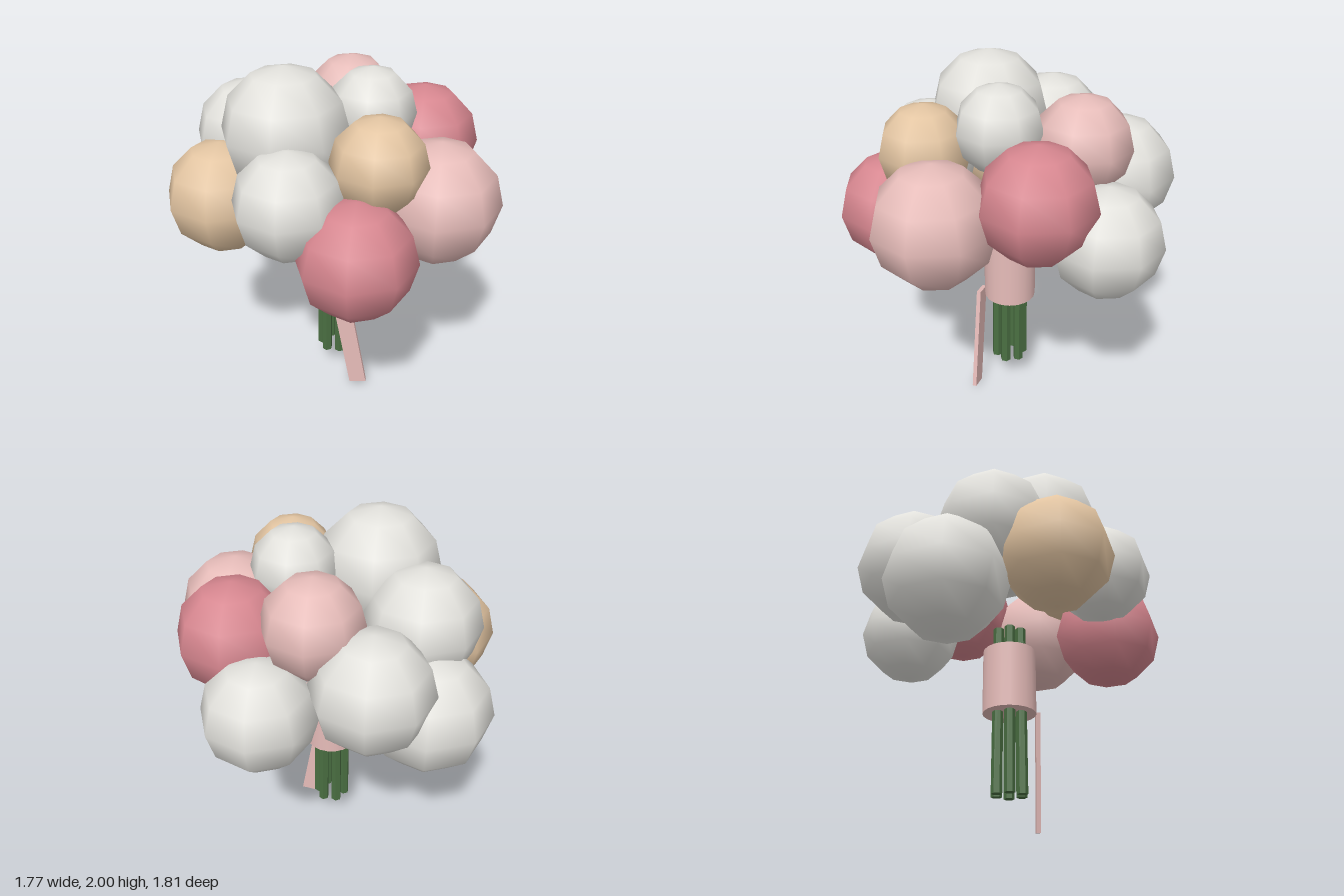
import * as THREE from 'three';

const mat = (name, color) => {
  const m = new THREE.MeshStandardMaterial({ color });
  m.name = name;
  return m;
};

export function createModel() {
  const white = mat('cream white', 0xe2e1dc);
  const pink = mat('blush pink', 0xe6bcb9);
  const rose = mat('rose', 0xd6868f);
  const tan = mat('peach tan', 0xe3c5a2);
  const green = mat('stem green', 0x4a6f42);

  const group = new THREE.Group();
  group.name = 'bouquet';
  const add = (parent, name, geo, material, x, y, z) => {
    const mesh = new THREE.Mesh(geo, material);
    mesh.name = name;
    mesh.position.set(x, y, z);
    parent.add(mesh);
    return mesh;
  };

  // Blossoms: low-poly balls [x, y, z, radius, material]
  const blossoms = new THREE.Group();
  blossoms.name = 'blossoms';
  group.add(blossoms);
  [
    [0.19, 1.195, 0.588, 0.31, rose],
    [0.44, 1.47, -0.302, 0.305, rose],
    [-0.575, 1.285, 0.215, 0.305, tan],
    [0.265, 1.59, 0.355, 0.247, tan],
    [0.558, 1.333, 0.19, 0.327, pink],
    [0.022, 1.625, -0.41, 0.264, pink],
    [-0.15, 1.422, 0.513, 0.283, white],
    [-0.23, 1.665, 0.182, 0.335, white],
    [0.183, 1.72, -0.02, 0.233, white],
    [0.26, 1.23, -0.61, 0.297, white],
    [-0.28, 1.375, -0.545, 0.315, white],
    [-0.56, 1.142, -0.34, 0.33, white],
    [-0.486, 1.51, -0.107, 0.311, white],
  ].forEach(([x, y, z, r, m]) =>
    add(blossoms, 'blossom', new THREE.SphereGeometry(r, 8, 6), m, x, y, z));

  // Stems: a slightly splayed ring
  const stems = new THREE.Group();
  stems.name = 'stems';
  stems.position.set(-0.008, 0.645, -0.012);
  group.add(stems);
  const stemGeo = new THREE.CylinderGeometry(0.03, 0.03, 0.95, 6).toNonIndexed();
  stemGeo.computeVertexNormals();
  for (let i = 0; i < 6; i++) {
    const a = (i * Math.PI) / 3;
    const c = Math.cos(a), s = Math.sin(a);
    const stem = add(stems, 'stem', stemGeo, green, 0.074 * c, 0, 0.074 * s);
    stem.rotation.set(-0.008 * s, 0, 0.008 * c);
  }

  // Wrap around the stems and its hanging ribbon
  add(group, 'wrap', new THREE.CylinderGeometry(0.148, 0.148, 0.37, 20), pink, -0.007, 0.805, -0.012);
  const ribbon = add(group, 'ribbonTail', new THREE.BoxGeometry(0.1, 0.64, 0.024), pink, 0.103, 0.326, 0.146);
  ribbon.rotation.z = THREE.MathUtils.degToRad(10);

  return group;
}
